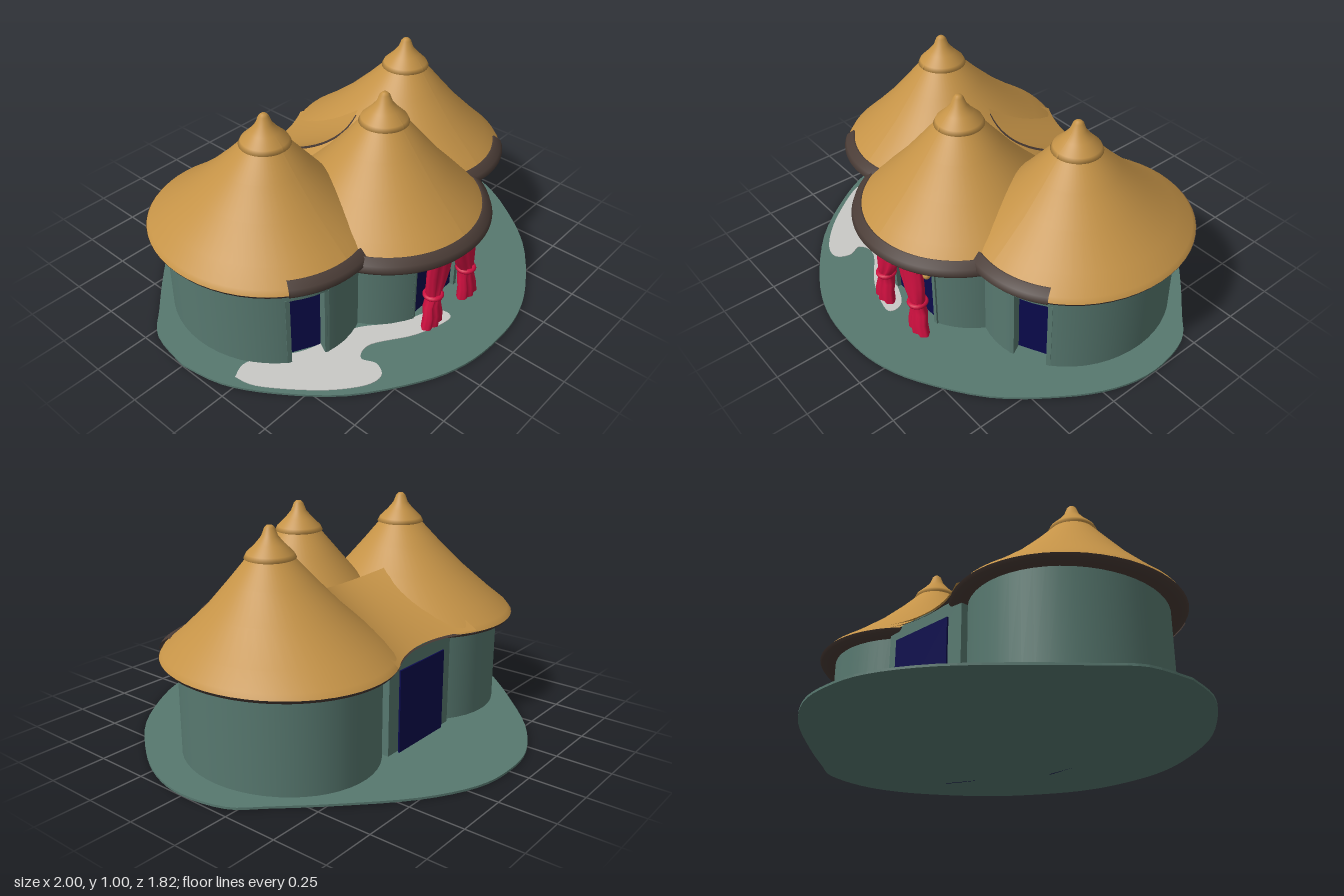
import * as THREE from 'three';

const mat = (name, color, side = THREE.FrontSide) => {
  const m = new THREE.MeshStandardMaterial({ color, side });
  m.name = name;
  return m;
};

export function createModel() {
  const model = new THREE.Group();
  model.name = 'tripleHut';
  const green = mat('wallGreen', 0x57786f, THREE.DoubleSide);
  const thatch = mat('thatchTan', 0xc59347, THREE.DoubleSide);
  const brown = mat('eaveBrown', 0x4a3c36, THREE.DoubleSide);
  const red = mat('curtainRed', 0xd01040, THREE.DoubleSide);
  const blue = mat('doorwayBlue', 0x0a0a4c);
  const pale = mat('palePatch', 0xc9c9c6);

  const add = (name, geo, material, x = 0, y = 0, z = 0, parent = model) => {
    const m = new THREE.Mesh(geo, material);
    m.name = name;
    m.position.set(x, y, z);
    parent.add(m);
    return m;
  };
  const box = (w, h, d) => new THREE.BoxGeometry(w, h, d);
  const v2 = (pts) => pts.map((p) => new THREE.Vector2(p[0], p[1]));

  // Ground plate: rounded diamond outline, and a pale patch lying on it
  const slab = (pts, y, h) => {
    const curve = new THREE.SplineCurve(v2([...pts, pts[0]]));
    const shape = new THREE.Shape(curve.getPoints(96).slice(0, -1).map((p) => new THREE.Vector2(p.x, -p.y)));
    const g = new THREE.ExtrudeGeometry(shape, { depth: h, bevelEnabled: false });
    return g.rotateX(-Math.PI / 2).translate(0, y, 0);
  };
  add('ground', slab([
    [-1, 0], [-0.96, -0.21], [-0.85, -0.34], [-0.67, -0.53], [-0.43, -0.75], [-0.2, -0.88], [0, -0.91],
    [0.2, -0.88], [0.43, -0.75], [0.67, -0.53], [0.85, -0.34], [0.96, -0.21], [1, 0],
    [0.96, 0.2], [0.85, 0.4], [0.66, 0.63], [0.4, 0.81], [0.2, 0.89], [0, 0.91],
    [-0.2, 0.89], [-0.4, 0.81], [-0.66, 0.63], [-0.85, 0.4], [-0.96, 0.2],
  ], 0, 0.01), green);
  add('groundPatch', slab([
    [-0.9, 0.22], [-0.87, 0.33], [-0.72, 0.53], [-0.58, 0.65], [-0.49, 0.67], [-0.45, 0.61], [-0.47, 0.54],
    [-0.38, 0.52], [-0.2, 0.63], [-0.02, 0.68], [-0.02, 0.6], [-0.2, 0.52], [-0.36, 0.4], [-0.6, 0.33], [-0.8, 0.2],
  ], 0.009, 0.004), pale);

  // Curved wall with one opening between two angles (0 faces the front)
  const wallTop = 0.46;
  const arc = (name, cx, cz, rx, rz, a0, a1, y0, y1) => {
    const g = new THREE.CylinderGeometry(1, 1, y1 - y0, 48, 1, true, a0, a1 - a0);
    add(name, g.scale(rx, 1, rz), green, cx, (y0 + y1) / 2, cz);
  };
  const wall = (name, cx, cz, rx, rz, a0, a1, doorTop) => {
    arc(name, cx, cz, rx, rz, a1, a0 + Math.PI * 2, 0, wallTop);
    arc(name + 'Lintel', cx, cz, rx, rz, a0, a1, doorTop, wallTop);
  };
  // Recessed doorway: dark panel, two jambs and a head
  const doorway = (name, x, z, angle, w, h, depth) => {
    const g = new THREE.Group();
    g.name = name;
    g.position.set(x, 0, z);
    g.rotation.y = angle;
    add('doorPanel', box(w, h, 0.008), blue, 0, h / 2, -depth, g);
    for (const s of [-1, 1]) add('doorJamb', box(0.02, h, depth), green, s * (w / 2), h / 2, -depth / 2, g);
    add('doorHead', box(w, 0.02, depth), green, 0, h + 0.005, -depth / 2, g);
    model.add(g);
  };

  // Roof: cone bent so the eave is slightly oval and pushed back or drooped
  const bend = (g, oval, back, droop) => {
    const p = g.attributes.position;
    for (let i = 0; i < p.count; i++) {
      const k = 1 - THREE.MathUtils.clamp((p.getY(i) - 0.45) / 0.4, 0, 1);
      p.setZ(i, p.getZ(i) * (1 + (oval - 1) * k) - back * k);
      p.setY(i, p.getY(i) - droop * k);
    }
    g.computeVertexNormals();
    return g;
  };
  const roof = (name, x, z, oval, back, droop, b0, b1) => {
    const g = new THREE.Group();
    g.name = name;
    g.position.set(x, 0, z);
    const part = (label, pts, material, start = 0, len = Math.PI * 2) =>
      add(label, bend(new THREE.LatheGeometry(v2(pts), 56, start, len), oval, back, droop), material, 0, 0, 0, g);
    part('thatchCone', [[0.478, 0.452], [0.465, 0.475], [0.4, 0.535], [0.28, 0.655], [0.18, 0.77], [0.09, 0.875], [0.05, 0.91]], thatch);
    part('thatchCap', [[0.09, 0.858], [0.11, 0.865], [0.1, 0.885], [0.062, 0.922], [0.035, 0.955], [0.022, 0.99], [0.012, 1], [0, 1]], thatch);
    part('eaveUnderside', [[0, 0.442], [0.44, 0.435], [0.47, 0.438], [0.48, 0.453]], brown);
    part('eaveBand', [[0.474, 0.437], [0.487, 0.455], [0.478, 0.48], [0.448, 0.502], [0.44, 0.498]], brown, b0, b1 - b0);
    model.add(g);
  };

  // Two side huts
  for (const s of [-1, 1]) {
    const side = s > 0 ? 'left' : 'right';
    const a = [0.2 * s, 0.62 * s].sort((p, q) => p - q);
    wall(side + 'Wall', 0.46 * s, -0.04, 0.4, 0.46, a[0], a[1], 0.36);
    doorway(side + 'Doorway', 0.615 * s, 0.373, 0.46 * s, 0.17, 0.36, 0.06);
    const b = [-0.3 * s, 0.62 * s].sort((p, q) => p - q);
    roof(side + 'Roof', 0.458 * s, 0, 1.11, 0.04, 0, b[0], b[1]);
  }

  // Front hut
  wall('frontWall', 0.02, 0.2, 0.385, 0.39, -0.4, 0.44, 0.37);
  doorway('frontDoorway', 0.028, 0.556, 0, 0.31, 0.37, 0.025);
  roof('frontRoof', 0, 0.25, 1.02, 0, 0.02, -1.1, 1.1);

  // Rear link between the side huts, with its own door and saddle roof
  add('rearWall', box(0.46, wallTop, 0.2), green, 0, wallTop / 2, -0.35);
  add('rearDoor', box(0.33, 0.38, 0.008), blue, 0.005, 0.2, -0.462);
  const saddle = (lift) => {
    const g = new THREE.PlaneGeometry(0.6, 1, 16, 12).rotateX(-Math.PI / 2);
    const p = g.attributes.position;
    for (let i = 0; i < p.count; i++) {
      const x = p.getX(i), t = p.getZ(i) + 0.5;
      p.setXYZ(i, x, lift + 0.462 + 0.2 * t + 0.6 * x * x * t, -0.455 - x * x + t * 0.42);
    }
    g.computeVertexNormals();
    return g;
  };
  add('rearRoof', saddle(0), thatch);
  add('rearEave', saddle(-0.012), brown);

  // Curtains: pleated loops, each row is [height, outer, inner] from the middle
  const rows = [[0.39, 0.165, 0.0], [0.34, 0.165, 0.005], [0.28, 0.17, 0.02], [0.22, 0.165, 0.05], [0.18, 0.16, 0.08],
    [0.16, 0.155, 0.085], [0.12, 0.175, 0.08], [0.07, 0.185, 0.075], [0.012, 0.198, 0.07]];
  const N = 32;
  const curtain = (s) => {
    const pos = [], idx = [];
    rows.forEach(([y, outer, inner], r) => {
      for (let i = 0; i < N; i++) {
        const a = (i / N) * Math.PI * 2;
        const fold = 1 + 0.18 * Math.cos(a * 8);
        pos.push(s * ((outer + inner) / 2 + ((outer - inner) / 2) * Math.cos(a)), y,
          0.625 + (r > 6 ? 0.01 : 0) + 0.03 * fold * Math.sin(a));
        if (r) {
          const p = (r - 1) * N + i, q = (r - 1) * N + ((i + 1) % N);
          idx.push(p, q, p + N, q, q + N, p + N);
        }
      }
    });
    const g = new THREE.BufferGeometry();
    g.setAttribute('position', new THREE.Float32BufferAttribute(pos, 3));
    g.setIndex(idx);
    g.computeVertexNormals();
    return g;
  };
  for (const s of [-1, 1]) {
    add('curtain', curtain(s), red, 0.035, 0, 0);
    const tie = add('curtainTie', new THREE.TorusGeometry(0.036, 0.012, 8, 20), red, 0.035 + s * 0.122, 0.17, 0.625);
    tie.rotation.x = Math.PI / 2;
  }
  add('curtainValance', box(0.34, 0.025, 0.06), red, 0.035, 0.388, 0.62);

  // Curtain rod with round ends
  add('curtainRod', new THREE.CylinderGeometry(0.011, 0.011, 0.4, 12).rotateZ(Math.PI / 2), thatch, 0.035, 0.375, 0.62);
  for (const s of [-1, 1]) add('rodEnd', new THREE.SphereGeometry(0.017, 12, 8), thatch, 0.035 + s * 0.2, 0.375, 0.62);

  return model;
}
